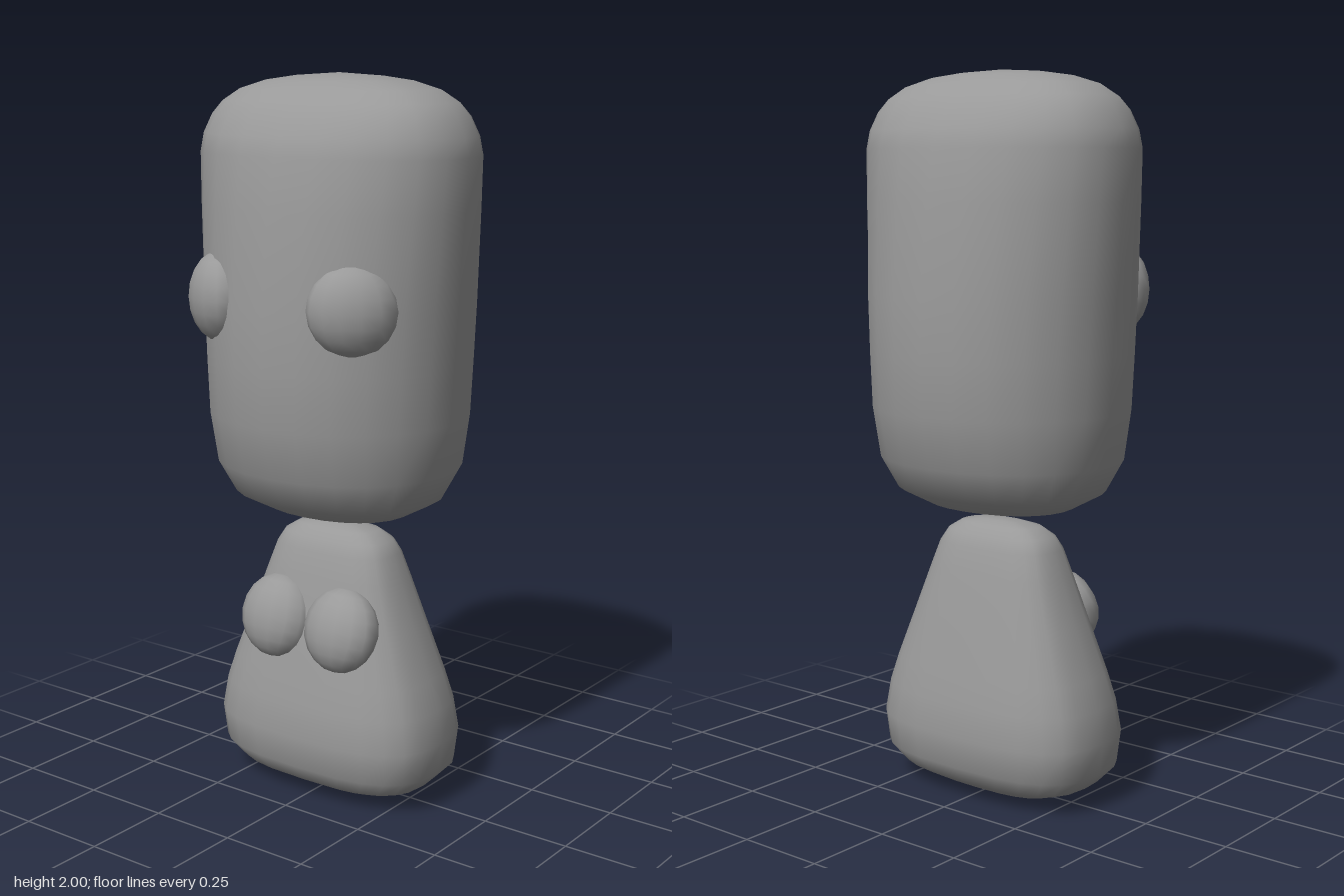
import * as THREE from 'three';

const material = new THREE.MeshStandardMaterial({ color: 0x999999 });

// Smooth closed form from horizontal superellipse rings: [y, half width, half depth, power]
function loft(name, rings, bottom, top, sides = 24) {
  const pos = [0, bottom, 0];
  const index = [];
  for (const [y, hx, hz, power] of rings) {
    for (let i = 0; i < sides; i++) {
      const a = (i / sides) * Math.PI * 2;
      const c = Math.cos(a), s = Math.sin(a);
      pos.push(
        Math.sign(c) * Math.abs(c) ** (2 / power) * hx, y,
        Math.sign(s) * Math.abs(s) ** (2 / power) * hz);
    }
  }
  pos.push(0, top, 0);
  const last = rings.length * sides + 1;
  const at = (r, i) => 1 + r * sides + (i % sides);
  for (let i = 0; i < sides; i++) {
    index.push(0, at(0, i), at(0, i + 1));
    for (let r = 0; r < rings.length - 1; r++) {
      const a = at(r, i), b = at(r, i + 1), c = at(r + 1, i), d = at(r + 1, i + 1);
      index.push(a, c, b, b, c, d);
    }
    index.push(last, at(rings.length - 1, i + 1), at(rings.length - 1, i));
  }
  const geo = new THREE.BufferGeometry();
  geo.setAttribute('position', new THREE.Float32BufferAttribute(pos, 3));
  geo.setIndex(index);
  geo.computeVertexNormals();
  const mesh = new THREE.Mesh(geo, material);
  mesh.name = name;
  return mesh;
}

// Squashed ball, tilted about x and turned about y
function ball(name, centre, radii, tilt, turn) {
  const mesh = new THREE.Mesh(new THREE.SphereGeometry(1, 14, 10), material);
  mesh.name = name;
  mesh.position.set(...centre);
  mesh.scale.set(...radii);
  mesh.rotation.set(tilt, turn, 0);
  return mesh;
}

export function createModel() {
  const model = new THREE.Group();
  model.name = 'figure';

  // Tall head: wide and thin at the crown, narrower and deeper at the chin
  model.add(loft('head', [
    [0.8, 0.12, 0.085, 2.2], [0.815, 0.215, 0.16, 2.2], [0.862, 0.302, 0.252, 2.15],
    [0.95, 0.35, 0.305, 2.1], [1.09, 0.367, 0.336, 2.05], [1.24, 0.376, 0.338, 2.05],
    [1.4, 0.386, 0.335, 2.05], [1.65, 0.402, 0.308, 2.1], [1.79, 0.41, 0.28, 2.2],
    [1.84, 0.399, 0.262, 2.3], [1.89, 0.376, 0.23, 2.4], [1.925, 0.346, 0.202, 2.45],
    [1.957, 0.296, 0.163, 2.5], [1.98, 0.217, 0.12, 2.5], [1.992, 0.13, 0.068, 2.5],
  ], 0.796, 2.0));

  // Wedge-shaped body on a rounded base
  model.add(loft('body', [
    [0.006, 0.11, 0.06], [0.016, 0.21, 0.11], [0.05, 0.297, 0.17],
    [0.10, 0.345, 0.206], [0.19, 0.355, 0.217], [0.28, 0.34, 0.205],
    [0.36, 0.314, 0.188], [0.5, 0.26, 0.157], [0.63, 0.212, 0.125],
    [0.70, 0.187, 0.104], [0.735, 0.165, 0.086], [0.76, 0.125, 0.06],
    [0.771, 0.07, 0.03],
  ].map((ring) => [...ring, 2.9]), 0, 0.775));

  // Mirrored eyes turned outwards, and chest leaning back with the body
  for (const [side, s] of [['left', 1], ['right', -1]]) {
    model.add(ball(side + 'Eye', [s * 0.222, 1.412, 0.241], [0.121, 0.121, 0.08], 0, s * 0.61));
    model.add(ball(side + 'Breast', [s * 0.111, 0.508, 0.138], [0.115, 0.118, 0.076], -0.28, 0));
  }
  return model;
}
